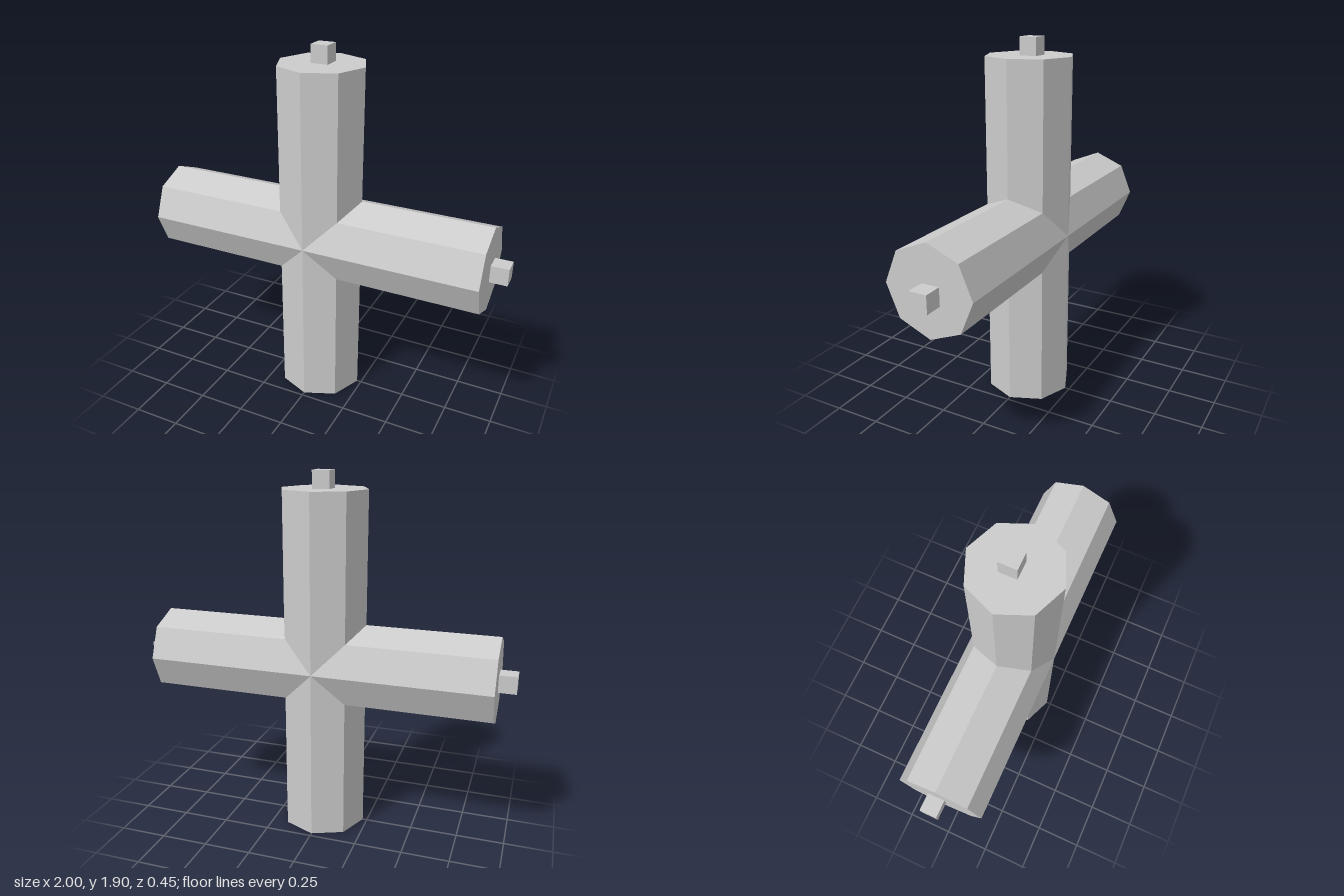
import * as THREE from 'three';

const RADIUS = 0.227, LENGTH = 1.815, CENTRE_Y = 0.908, PEG = 0.09;

export function createModel() {
  const group = new THREE.Group();
  const material = new THREE.MeshStandardMaterial({ color: 0xcccccc, flatShading: true });

  const add = (name, geometry, x, y, z) => {
    const mesh = new THREE.Mesh(geometry, material);
    mesh.name = name;
    mesh.position.set(x, y, z);
    group.add(mesh);
    return mesh;
  };

  // Two crossing octagonal beams with a corner edge facing front
  const beam = new THREE.CylinderGeometry(RADIUS, RADIUS, LENGTH, 8);
  add('uprightBeam', beam, 0, CENTRE_Y, 0);
  add('crossBeam', beam, 0, CENTRE_Y, 0).rotation.z = Math.PI / 2;

  // Small square pegs on the top and side ends, set slightly off centre
  const peg = new THREE.BoxGeometry(PEG, PEG, PEG);
  const reach = 1 - PEG / 2;
  add('topPeg', peg, 0, LENGTH + PEG / 2, -0.015);
  add('leftPeg', peg, reach, 0.9, -0.015);
  add('rightPeg', peg, -reach, 0.913, -0.015);

  return group;
}
